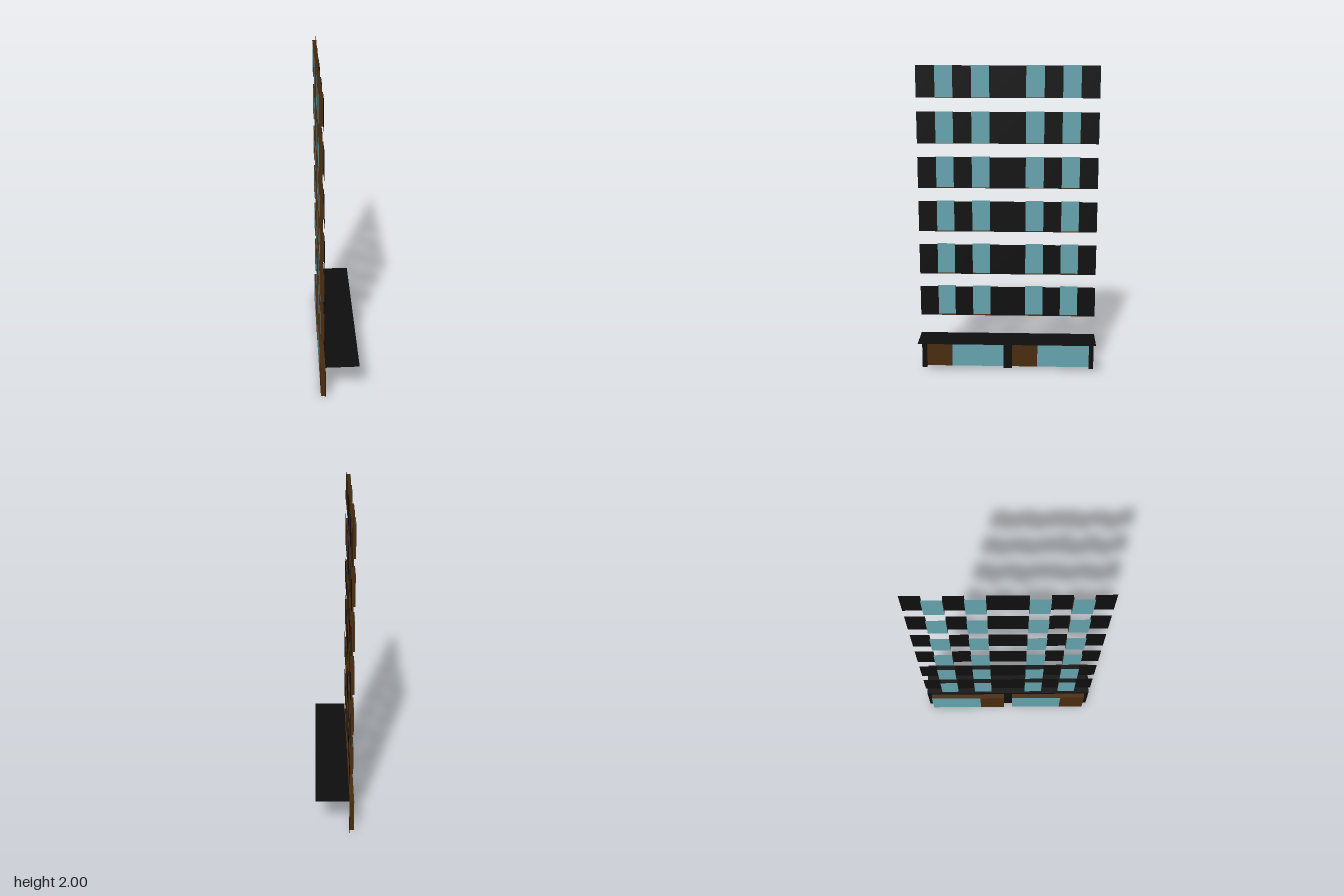
import * as THREE from 'three';

const WALL_X = -0.09, HALF = 0.572;

function material(name, color) {
  const m = new THREE.MeshStandardMaterial({ color, side: THREE.DoubleSide });
  m.name = name;
  return m;
}

export function createModel() {
  const black = material('black wall', 0x0e0e0e);
  const brown = material('brown frame', 0x4a2c0f);
  const glass = material('blue glass', 0x66a4af);
  const model = new THREE.Group();
  model.name = 'buildingFacade';

  const sheet = (parent, name, mat, w, h, x, y, z) => {
    const mesh = new THREE.Mesh(new THREE.PlaneGeometry(w, h), mat);
    mesh.name = name;
    mesh.position.set(x, y, z);
    parent.add(mesh);
    return mesh;
  };
  // upright sheet facing the street (+x)
  const facing = (parent, name, mat, x, y0, y1, z0, z1) => {
    sheet(parent, name, mat, z1 - z0, y1 - y0, x, (y0 + y1) / 2, (z0 + z1) / 2).rotation.y = Math.PI / 2;
  };
  // upright sheet across the wall
  const reveal = (parent, name, x0, x1, y0, y1, z) => {
    sheet(parent, name, brown, x1 - x0, y1 - y0, (x0 + x1) / 2, (y0 + y1) / 2, z);
  };
  // level sheet
  const level = (parent, name, mat, x0, x1, y, z0, z1) => {
    sheet(parent, name, mat, x1 - x0, z1 - z0, (x0 + x1) / 2, y, (z0 + z1) / 2).rotation.x = -Math.PI / 2;
  };

  // Upper floors: wall strips with four recessed windows
  const windows = [[-0.457, -0.343], [-0.229, -0.114], [0.114, 0.229], [0.343, 0.457]];
  const back = -0.115, height = 0.199;
  for (let i = 0; i < 6; i++) {
    const floor = new THREE.Group();
    floor.name = 'upperFloor';
    const y0 = 0.373 + i * 0.2856, y1 = y0 + height;
    let edge = -HALF;
    for (const [z0, z1] of windows) {
      facing(floor, 'wallPanel', black, WALL_X, y0, y1, edge, z0);
      facing(floor, 'windowPane', glass, back, y0, y1, z0, z1);
      reveal(floor, 'windowSide', back, WALL_X, y0, y1, z0);
      reveal(floor, 'windowSide', back, WALL_X, y0, y1, z1);
      level(floor, 'windowSill', brown, back, WALL_X, y0, z0, z1);
      edge = z1;
    }
    facing(floor, 'wallPanel', black, WALL_X, y0, y1, edge, HALF);
    model.add(floor);
  }

  // Ground floor: two recessed shopfronts, each a door and a display window
  const ground = new THREE.Group();
  ground.name = 'groundFloor';
  model.add(ground);
  const shopBack = -0.12, top = 0.225, roof = 0.25;
  for (const [z0, z1] of [[-0.543, -0.03], [0.028, 0.541]]) {
    const split = z1 - 0.168;
    facing(ground, 'shopWindow', glass, shopBack, 0, top, z0, split);
    facing(ground, 'shopDoor', brown, shopBack, 0, top, split, z1);
    facing(ground, 'doorPanel', brown, shopBack + 0.004, 0.02, 0.2, split + 0.02, z1 - 0.02);
    reveal(ground, 'shopSide', shopBack, WALL_X, 0, top, z0);
    reveal(ground, 'shopSide', shopBack, WALL_X, 0, top, z1);
    level(ground, 'shopHeader', brown, shopBack, WALL_X, top, z0, z1);
  }
  for (const [z0, z1] of [[-HALF, -0.543], [-0.03, 0.028], [0.541, HALF]])
    facing(ground, 'wallPost', black, WALL_X, 0, top, z0, z1);
  facing(ground, 'wallBeam', black, WALL_X, top, roof, -HALF, HALF);

  // Flat canopy over the pavement
  level(model, 'canopy', black, WALL_X, 0.12, roof, -HALF, HALF);
  return model;
}
